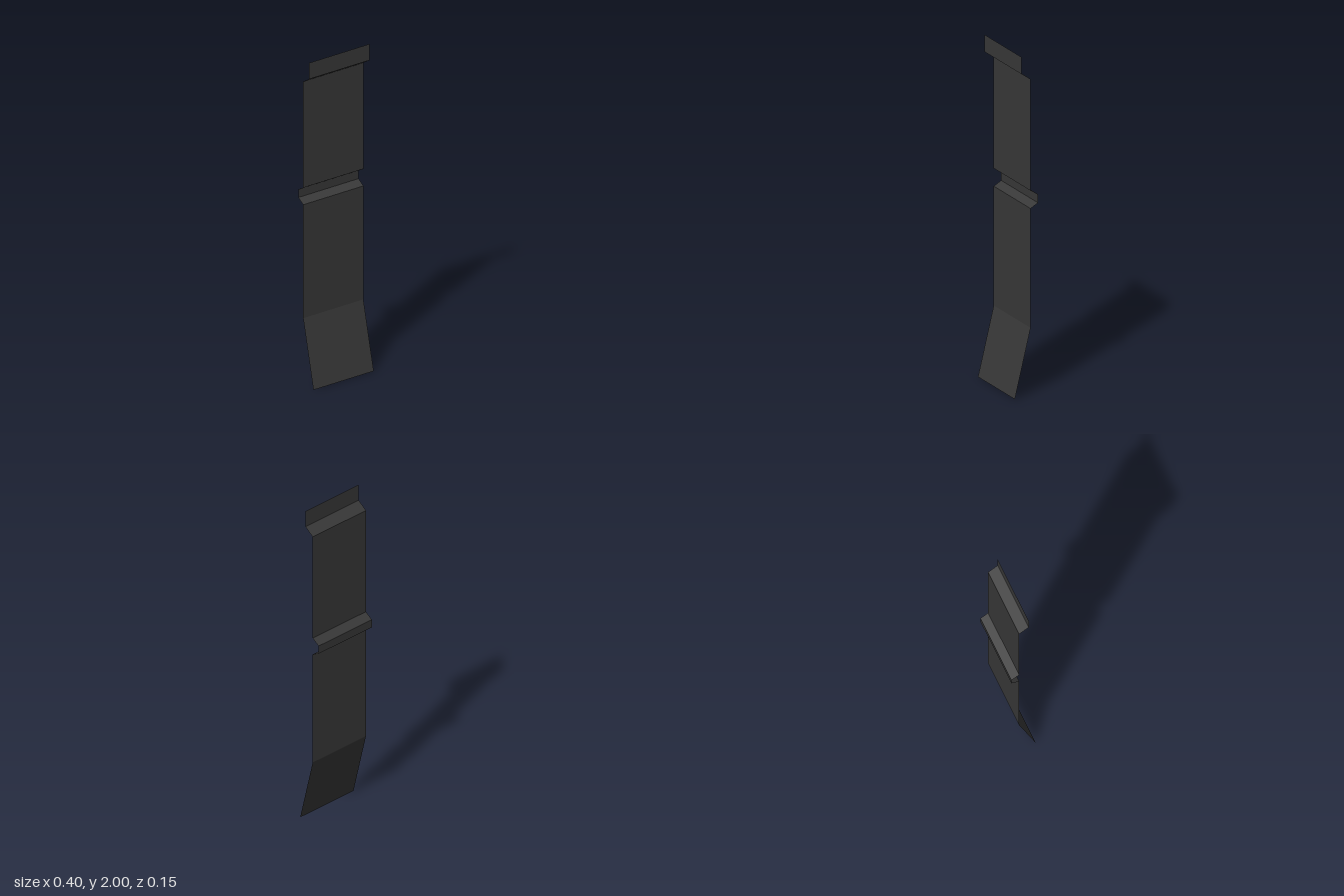
import * as THREE from 'three';

export function createModel() {
  const model = new THREE.Group();
  model.name = 'foldedStrip';

  const darkGrey = new THREE.MeshStandardMaterial({ color: 0x383838, side: THREE.DoubleSide });
  darkGrey.name = 'darkGrey';

  const width = 0.4;

  // Side profile of the folded sheet, bottom to top: [z, y]
  const profile = [
    [0.072, 0], [-0.028, 0.4], [-0.028, 1.1], [-0.075, 1.125],
    [-0.075, 1.175], [-0.028, 1.205], [-0.028, 1.86], [0.03, 1.9], [0.03, 2],
  ];
  const names = [
    'flaredFoot', 'lowerPanel', 'grooveLowerSlope', 'grooveBack',
    'grooveUpperSlope', 'upperPanel', 'topSlope', 'topFlange',
  ];

  // One flat panel between each pair of folds
  names.forEach((name, i) => {
    const [z0, y0] = profile[i];
    const [z1, y1] = profile[i + 1];
    const dz = z1 - z0, dy = y1 - y0;
    const panel = new THREE.Mesh(new THREE.PlaneGeometry(width, Math.hypot(dz, dy)), darkGrey);
    panel.name = name;
    panel.position.set(0, (y0 + y1) / 2, (z0 + z1) / 2);
    panel.rotation.x = Math.atan2(dz, dy);
    model.add(panel);
  });

  return model;
}
